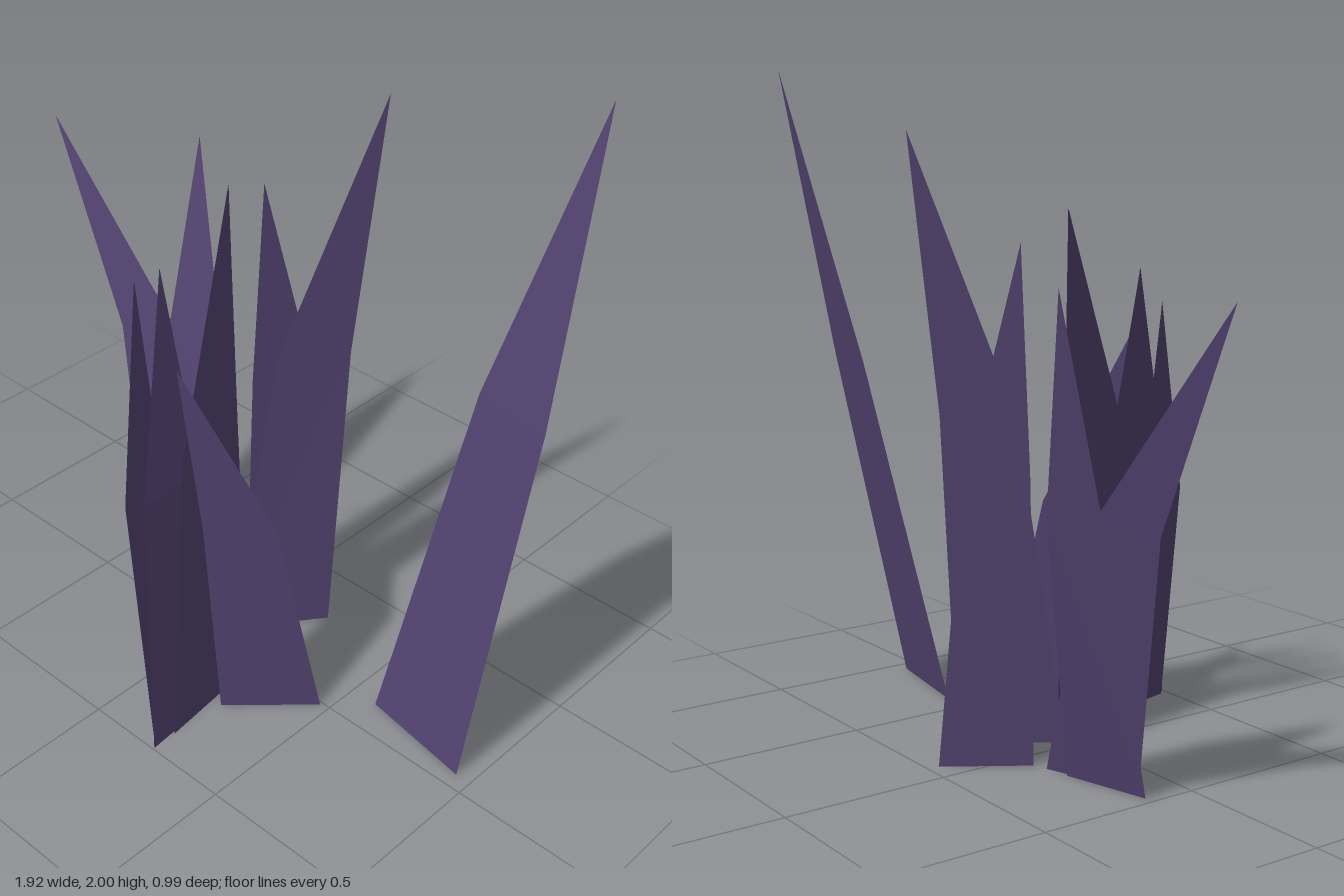
import * as THREE from 'three';

// Each blade: [left base x,z, right base x,z, left mid x,z, right mid x,z, tip x,z, height]
const BLADES = [
  [0.59, -0.11, 0.95, -0.05, 0.71, -0.33, 0.96, -0.29, 0.92, -0.49, 2.0],
  [0.03, -0.05, 0.22, -0.31, 0.09, -0.18, 0.22, -0.36, 0.25, -0.44, 1.82],
  [-0.42, -0.125, -0.12, -0.225, -0.64, -0.23, -0.43, -0.3, -0.96, -0.26, 1.42],
  [-0.47, -0.14, -0.2, -0.21, -0.51, -0.315, -0.32, -0.365, -0.51, -0.46, 1.43],
  [-0.075, -0.24, 0.08, -0.465, -0.06, -0.235, 0.047, -0.395, -0.04, -0.25, 1.51],
  [0.255, 0.225, 0.47, 0.01, 0.21, 0.255, 0.36, 0.105, 0.15, 0.295, 1.21],
  [0.24, 0.41, 0.2, 0.045, 0.13, 0.255, 0.1, 0.0, 0.01, -0.05, 1.6],
  [0.22, 0.475, 0.16, 0.2, 0.03, 0.39, -0.025, 0.19, -0.135, 0.18, 1.33],
  [0.24, 0.495, 0.21, 0.14, 0.12, 0.4, 0.1, 0.155, -0.02, 0.19, 1.42],
];
const MID = 0.55; // the bend sits at this share of a blade's height

// Flat tapering blade: a quad from the ground to the bend, then a pointed tip
function bladeGeometry([ax, az, bx, bz, cx, cz, dx, dz, tx, tz, h]) {
  const m = h * MID;
  const a = [ax, 0, az], b = [bx, 0, bz], c = [cx, m, cz], d = [dx, m, dz], t = [tx, h, tz];
  const geometry = new THREE.BufferGeometry();
  const corners = [a, b, d, a, d, c, c, d, t].flat();
  geometry.setAttribute('position', new THREE.Float32BufferAttribute(corners, 3));
  geometry.computeVertexNormals();
  return geometry;
}

export function createModel() {
  const group = new THREE.Group();
  group.name = 'grassTuft';
  const purple = new THREE.MeshStandardMaterial({
    color: 0x524270, side: THREE.DoubleSide, flatShading: true,
  });
  purple.name = 'dusky purple';

  BLADES.forEach((blade, i) => {
    const mesh = new THREE.Mesh(bladeGeometry(blade), purple);
    mesh.name = `grassBlade${i + 1}`;
    group.add(mesh);
  });
  return group;
}
